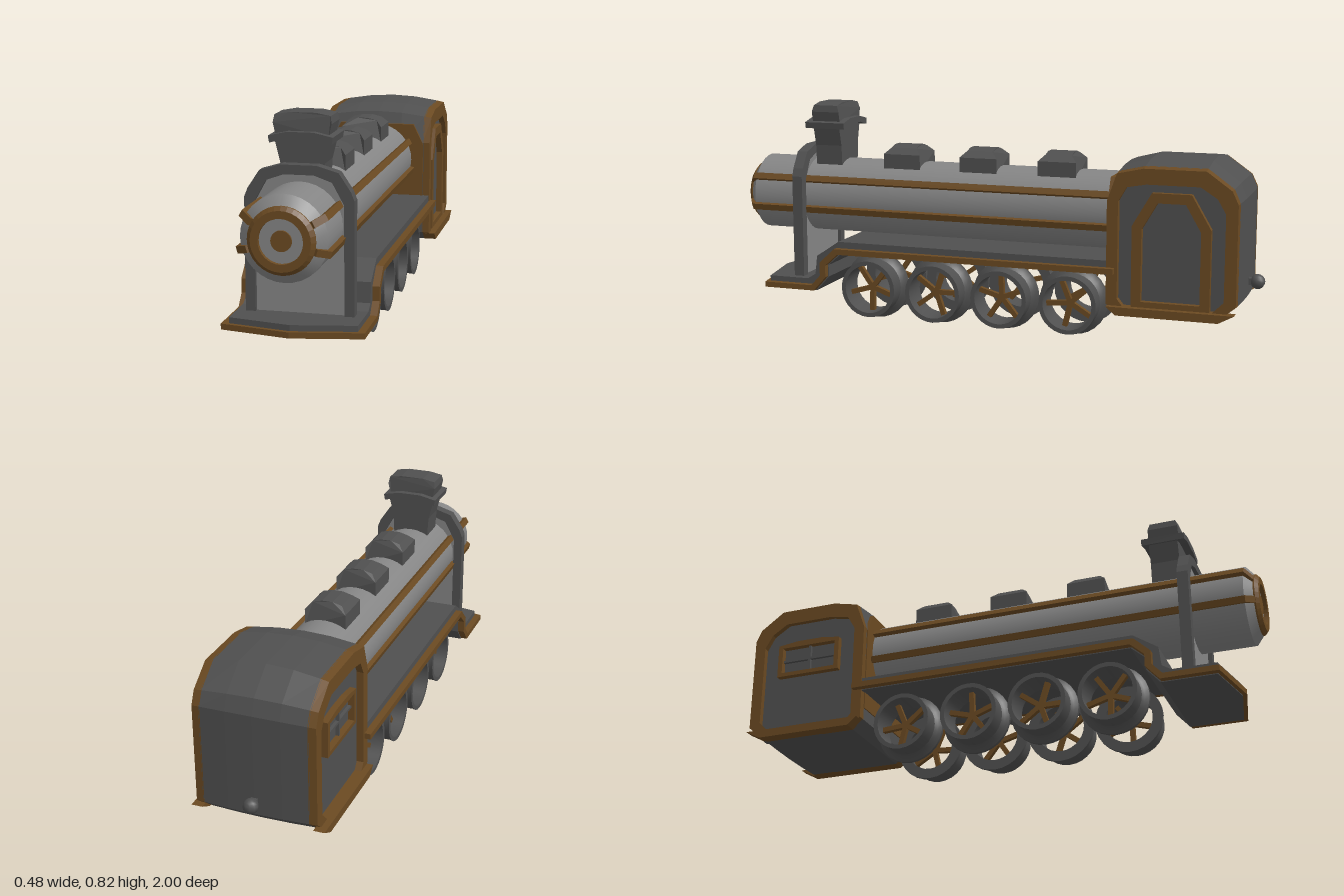
import * as THREE from 'three';
import { toCreasedNormals } from 'three/addons/utils/BufferGeometryUtils.js';

const material = (color, flatShading = true) =>
  new THREE.MeshStandardMaterial({ color, flatShading, side: THREE.DoubleSide });
const DARK = material(0x505050);
const BROWN = material(0x6b4a22);
const STEEL = material(0x858585, false);
const DARK_ROUND = material(0x505050, false);
const BOILER_Y = 0.457;

export function createModel() {
  const model = new THREE.Group();

  const add = (name, geometry, mat, parent = model) => {
    const mesh = new THREE.Mesh(geometry, mat);
    mesh.name = name;
    parent.add(mesh);
    return mesh;
  };
  const shapeOf = (pts, hole) => {
    const s = new THREE.Shape(pts.map(p => new THREE.Vector2(...p)));
    if (hole) s.holes.push(new THREE.Path(hole.map(p => new THREE.Vector2(...p))));
    return s;
  };
  // Outline in (x, y), extruded from z0 to z1
  const front = (pts, z0, z1, hole) =>
    new THREE.ExtrudeGeometry(shapeOf(pts, hole), { depth: z1 - z0, bevelEnabled: false }).translate(0, 0, z0);
  // Outline in (z, y), extruded from x0 to x1
  const side = (pts, x0, x1, hole, steps = 1) =>
    new THREE.ExtrudeGeometry(shapeOf(pts, hole), { depth: x1 - x0, steps, bevelEnabled: false })
      .rotateY(-Math.PI / 2).translate(x1, 0, 0);
  const warp = (geometry, rule) => {
    const p = geometry.attributes.position;
    const v = new THREE.Vector3();
    for (let i = 0; i < p.count; i++) {
      rule(v.fromBufferAttribute(p, i));
      p.setXYZ(i, v.x, v.y, v.z);
    }
    geometry.computeVertexNormals();
    return geometry;
  };
  // Profile in (radius, axis) turned around the z axis
  const turned = (pts, segments = 32) => toCreasedNormals(
    new THREE.LatheGeometry(pts.map(p => new THREE.Vector2(...p)), segments).rotateX(Math.PI / 2), 0.5);
  const mirrored = pts => [...pts, ...pts.map(([x, y]) => [-x, y]).reverse()];
  const rect = (u0, u1, v0, v1) => [[u0, v0], [u1, v0], [u1, v1], [u0, v1]];

  // Boiler with bevelled nose and round front door
  add('boiler', turned([[0, -0.49], [0.143, -0.49], [0.143, 0.955], [0.108, 0.985], [0, 0.985]]), STEEL)
    .position.y = BOILER_Y;
  add('noseRing', turned([[0.073, 0.97], [0.073, 1], [0.098, 1], [0.111, 0.988], [0.111, 0.965]]), BROWN)
    .position.y = BOILER_Y;
  add('noseCap', turned([[0.034, 0.98], [0.034, 0.992], [0, 0.992]]), BROWN).position.y = BOILER_Y;

  // Straps along the boiler, folded over the nose
  const strap = side([[-0.48, 0.13], [-0.48, 0.159], [0.96, 0.159], [0.988, 0.118], [0.975, 0.1], [0.945, 0.13]],
    -0.012, 0.012);
  for (const s of [-1, 1]) for (const degrees of [61, 106]) {
    const m = add('boilerStrap', strap, BROWN);
    m.position.y = BOILER_Y;
    m.rotation.z = -s * THREE.MathUtils.degToRad(degrees);
  }

  // Domes: blocks with sloped shoulders and a slightly arched top
  for (const z of [0.365, 0.06, -0.245]) {
    const dome = warp(
      front(mirrored([[0.077, 0.57], [0.077, 0.632], [0.055, 0.655], [0.02, 0.664]]), -0.073, 0.073),
      v => { if (v.y > 0.64) v.z *= 0.68; });
    add('boilerDome', dome, DARK).position.z = z;
  }

  // Chimney
  add('chimneyStack', front(mirrored([[0.07, 0.57], [0.075, 0.655], [0.095, 0.735]]), 0.615, 0.722), DARK);
  add('chimneyFlange', front(
    [[-0.104, 0.722], [-0.045, 0.736], [0.045, 0.736], [0.104, 0.722],
      [0.108, 0.745], [0.045, 0.759], [-0.045, 0.759], [-0.108, 0.745]], 0.59, 0.75), DARK);
  add('chimneyTop', warp(
    front(mirrored([[0.088, 0.74], [0.098, 0.785], [0.094, 0.81], [0.045, 0.819]]), -0.056, 0.056),
    v => { if (v.y > 0.8) v.z *= 0.86; }), DARK).position.z = 0.67;

  // Arch around the boiler and the plate that fills it
  const archInner = mirrored([[0.15, 0.15], [0.15, 0.53], [0.11, 0.603], [0.05, 0.624]]);
  add('archFrame', front(
    mirrored([[0.184, 0.14], [0.184, 0.545], [0.172, 0.575], [0.132, 0.635], [0.06, 0.656]]),
    0.732, 0.772, archInner), DARK);
  add('archPlate', front(archInner, 0.745, 0.757), STEEL);

  // Running board with stepped front and pointed nose
  const pointed = v => { if (v.z > 0.8) v.z -= 0.045 * Math.abs(v.x) / 0.24; };
  add('runningBoard', warp(side(
    [[0.9, 0.117], [0.9, 0.16], [0.7, 0.16], [0.668, 0.18], [0.66, 0.25], [0.57, 0.31], [-0.5, 0.31],
      [-0.5, 0.262], [0.562, 0.262], [0.612, 0.218], [0.612, 0.173], [0.662, 0.117]],
    -0.215, 0.215, null, 2), pointed), DARK);
  add('runningBoardTrim', warp(side(
    [[0.915, 0.12], [0.915, 0.14], [0.675, 0.14], [0.638, 0.18], [0.638, 0.23], [0.578, 0.286], [-0.5, 0.286],
      [-0.5, 0.265], [0.565, 0.265], [0.615, 0.22], [0.615, 0.175], [0.665, 0.12]],
    -0.24, 0.24, null, 2), pointed), BROWN);

  // Cab: body with arched roof and bowed back, framed on both sides
  const cabOutline = [[-0.51, 0.12], [-0.47, 0.155], [-0.47, 0.53], [-0.505, 0.645], [-0.6, 0.67],
    [-0.82, 0.67], [-0.92, 0.595], [-0.942, 0.54], [-0.942, 0.175], [-0.875, 0.12]];
  const cabOpening = [[-0.53, 0.15], [-0.51, 0.175], [-0.51, 0.53], [-0.54, 0.59], [-0.61, 0.605],
    [-0.8, 0.605], [-0.87, 0.56], [-0.9, 0.5], [-0.9, 0.19], [-0.86, 0.15]];
  const bowed = v => {
    const k = (v.x / 0.215) ** 2;
    if (v.y > 0.5) v.y -= 0.025 * k * (v.y - 0.5) / 0.17;
    if (v.z < -0.85) v.z += 0.01 * k;
  };
  add('cabBody', warp(side(cabOutline, -0.192, 0.192, null, 4), bowed), DARK);
  add('cabFrontWall', front(mirrored([[0.19, 0.2], [0.19, 0.52], [0.15, 0.6]]), -0.48, -0.466), BROWN);
  for (const s of [-1, 1]) {
    const [x0, x1] = s > 0 ? [0.188, 0.217] : [-0.217, -0.188];
    add('cabSideFrame', warp(side(cabOutline, x0, x1, cabOpening), bowed), BROWN);
    add('cabSill', side([[-0.51, 0.12], [-0.475, 0.15], [-0.93, 0.15], [-0.875, 0.12]],
      s > 0 ? 0.2 : -0.24, s > 0 ? 0.24 : -0.2), BROWN);
  }

  // Window with crossbars on the right side
  add('windowFrame', side(
    [[-0.575, 0.37], [-0.575, 0.5], [-0.65, 0.51], [-0.75, 0.51], [-0.83, 0.5], [-0.83, 0.37]],
    -0.215, -0.19, rect(-0.812, -0.593, 0.385, 0.488)), BROWN);
  add('windowBar', side(rect(-0.812, -0.593, 0.432, 0.441), -0.204, -0.19), DARK);
  add('windowBar', side(rect(-0.707, -0.698, 0.385, 0.488), -0.204, -0.19), DARK);

  // Doorway on the left side
  add('doorFrame', side(
    [[-0.84, 0.15], [-0.84, 0.44], [-0.77, 0.56], [-0.63, 0.56], [-0.56, 0.44], [-0.56, 0.15]],
    0.19, 0.215,
    [[-0.805, 0.17], [-0.805, 0.43], [-0.75, 0.525], [-0.65, 0.525], [-0.595, 0.43], [-0.595, 0.17]]), BROWN);

  // Rear coupling
  add('couplingStem', new THREE.BoxGeometry(0.025, 0.025, 0.06).translate(0, 0.225, -0.955), DARK);
  add('couplingBall', new THREE.SphereGeometry(0.027, 10, 8).translate(0, 0.225, -0.973), DARK_ROUND);

  // Wheels: hollow flanged rims with five spokes
  const rim = turned([[0.09, -0.05], [0.128, -0.05], [0.128, -0.038], [0.113, -0.03], [0.105, -0.02],
    [0.105, 0.042], [0.108, 0.052], [0.092, 0.052], [0.09, -0.05]], 28);
  const spoke = new THREE.BoxGeometry(0.018, 0.094, 0.018).translate(0, 0.047, 0);
  for (const s of [-1, 1]) [0.464, 0.204, -0.056, -0.319].forEach((z, i) => {
    const wheel = new THREE.Group();
    wheel.name = 'wheel';
    add('wheelRim', rim, DARK_ROUND, wheel);
    for (let k = 0; k < 5; k++) {
      add('wheelSpoke', spoke, BROWN, wheel).rotation.z = k * Math.PI * 0.4 + i * 0.35 + 0.6;
    }
    wheel.position.set(s * 0.136, 0.128, z);
    wheel.rotation.y = s * Math.PI / 2;
    model.add(wheel);
  });

  return model;
}
